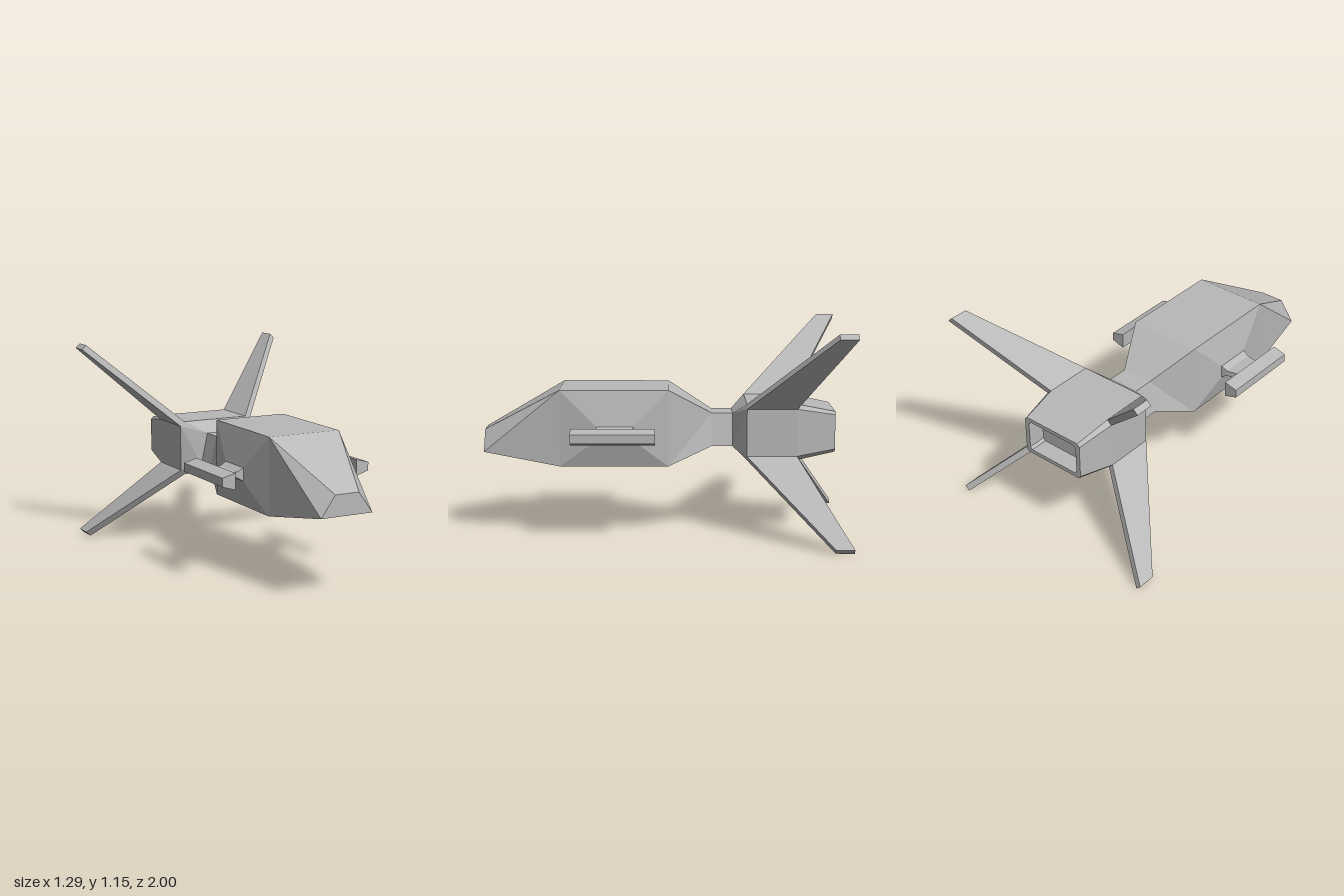
import * as THREE from 'three';

const MID = 0.58; // height of the wing and engine axis

// Skins a series of equal-length rings; the first ring runs counter-clockwise seen from outside its end.
function loft(rings, flip = false) {
  const pos = [];
  const tri = (a, b, c) => {
    const [A, B, C] = [a, flip ? c : b, flip ? b : c].map(p => new THREE.Vector3(...p));
    const area = B.clone().sub(A).cross(C.clone().sub(A)).length();
    if (area > 1e-7) pos.push(...A.toArray(), ...B.toArray(), ...C.toArray());
  };
  const n = rings[0].length;
  for (let r = 0; r + 1 < rings.length; r++) {
    const F = rings[r], B = rings[r + 1];
    for (let i = 0; i < n; i++) {
      const j = (i + 1) % n;
      // the diagonal is mirrored between the two sides of the craft
      if (F[i][0] + F[j][0] >= 0) { tri(F[i], B[i], B[j]); tri(F[i], B[j], F[j]); }
      else { tri(F[i], B[i], F[j]); tri(B[i], B[j], F[j]); }
    }
  }
  const first = rings[0], last = rings[rings.length - 1];
  for (let i = 1; i + 1 < n; i++) {
    tri(first[0], first[i], first[i + 1]);
    tri(last[0], last[i + 1], last[i]);
  }
  const g = new THREE.BufferGeometry();
  g.setAttribute('position', new THREE.Float32BufferAttribute(pos, 3));
  g.computeVertexNormals();
  return g;
}

// Trapezoid section: half widths at bottom and top, heights, z
const trapezoid = (b, t, y0, y1, z) => [[-b, y0, z], [b, y0, z], [t, y1, z], [-t, y1, z]];

// Box section with cut corners, centred on MID
function octagon(xTop, xSide, hTop, hSide, z) {
  return [[-xTop, -hTop], [xTop, -hTop], [xSide, -hSide], [xSide, hSide],
    [xTop, hTop], [-xTop, hTop], [-xSide, hSide], [-xSide, -hSide]]
    .map(([x, y]) => [x, MID + y, z]);
}

// Rectangle facing sideways at x
const sideRect = (s, x, y0, y1, z0, z1) =>
  [[s * x, y0, z0], [s * x, y0, z1], [s * x, y1, z1], [s * x, y1, z0]];

export function createModel() {
  const group = new THREE.Group();
  const hullGrey = new THREE.MeshStandardMaterial({ color: 0xb8b8b8 });
  hullGrey.name = 'hullGrey';
  hullGrey.flatShading = true;
  const add = (name, geometry) => {
    const mesh = new THREE.Mesh(geometry, hullGrey);
    mesh.name = name;
    group.add(mesh);
  };

  // Nose, cabin and narrow neck
  add('fuselage', loft([
    trapezoid(0.152, 0.07, 0.46, 0.575, 1),
    trapezoid(0.212, 0.212, 0.39, 0.812, 0.575),
    trapezoid(0.212, 0.212, 0.39, 0.812, -0.02),
    trapezoid(0.13, 0.09, 0.49, 0.67, -0.26),
    trapezoid(0.13, 0.09, 0.49, 0.67, -0.375),
  ]));

  // Engine block flaring from the neck, with a recessed exhaust
  const [bl, br, tr, tl] = trapezoid(0.13, 0.09, 0.49, 0.67, -0.375);
  add('engineBlock', loft([
    [bl, br, br, tr, tr, tl, tl, bl],
    octagon(0.2, 0.226, 0.155, 0.13, -0.45),
    octagon(0.2, 0.226, 0.155, 0.13, -0.725),
    octagon(0.178, 0.192, 0.112, 0.095, -0.935),
    octagon(0.152, 0.165, 0.09, 0.075, -0.935),
    octagon(0.152, 0.165, 0.09, 0.075, -0.835),
  ]));

  for (const s of [1, -1]) {
    const side = s > 0 ? 'left' : 'right';
    const flip = s < 0;

    // Bulged flank, pylon and outer pod
    add(side + 'Flank', loft([
      sideRect(s, 0.212, 0.39, 0.812, -0.02, 0.575),
      sideRect(s, 0.255, 0.54, 0.62, 0.17, 0.375),
    ], flip));
    add(side + 'Pylon', loft([
      sideRect(s, 0.25, 0.54, 0.62, 0.17, 0.375),
      sideRect(s, 0.29, 0.565, 0.597, 0.175, 0.37),
      sideRect(s, 0.38, 0.565, 0.597, 0.195, 0.35),
    ], flip));
    add(side + 'Pod', loft([
      sideRect(s, 0.372, 0.535, 0.625, 0.05, 0.505),
      sideRect(s, 0.448, 0.557, 0.605, 0.05, 0.505),
    ], flip));

    // Diagonal swept wings growing from the cut corners of the engine block
    for (const v of [1, -1]) {
      const section = (x, h, zBack, zFront) =>
        [[0, 0, zBack], [0.026, -0.025, zBack], [0.026, -0.025, zFront], [0, 0, zFront]]
          .map(([dx, dy, z]) => [s * (x + dx), MID + v * (h + dy), z]);
      add(side + (v > 0 ? 'Upper' : 'Lower') + 'Wing', loft([
        section(0.2, 0.155, -0.725, -0.45),
        section(0.62, 0.577, -1, -0.9),
      ], s * v < 0));
    }
  }
  return group;
}
